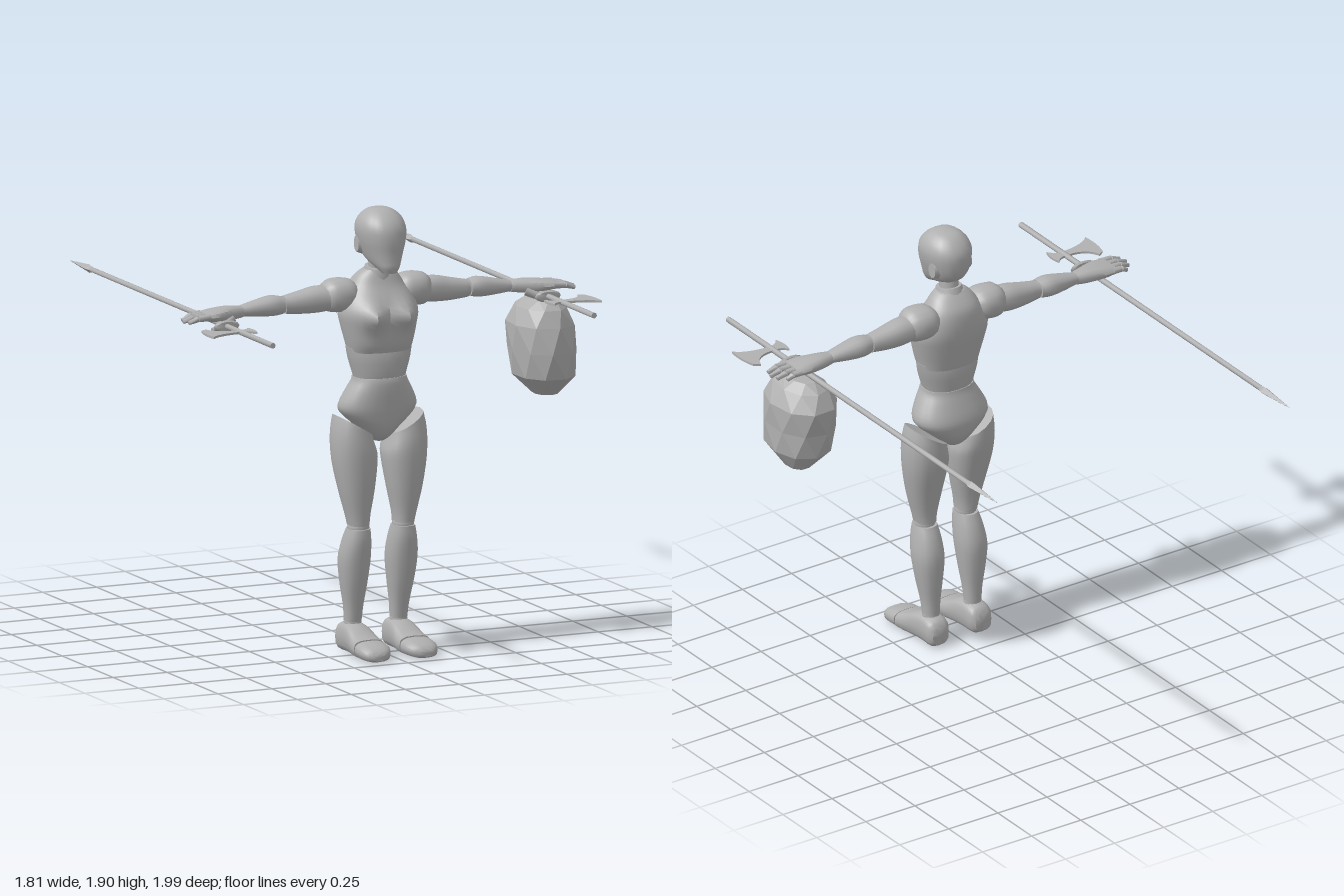
import * as THREE from 'three';
import { toCreasedNormals } from 'three/addons/utils/BufferGeometryUtils.js';

const grey = new THREE.MeshStandardMaterial({ color: 0xb0b0b0 });
grey.name = 'plain grey';

// Axis order for a loft: maps (along, u, v) to x, y, z
const AXES = {
  x: (t, u, v) => [t, u, v],
  y: (t, u, v) => [v, t, u],
  z: (t, u, v) => [u, v, t],
};

// Smooth in-between rows through the given ones
function refine(rows, steps) {
  const out = [];
  for (let i = 0; i < rows.length - 1; i++) {
    const p = [rows[Math.max(i - 1, 0)], rows[i], rows[i + 1], rows[Math.min(i + 2, rows.length - 1)]];
    for (let s = 0; s < steps; s++) {
      const f = s / steps;
      out.push(p[1].map((b, k) => {
        const a = p[0][k], c = p[2][k], d = p[3][k];
        return b + 0.5 * f * (c - a + f * (2 * a - 5 * b + 4 * c - d + f * (3 * (b - c) + d - a)));
      }));
    }
  }
  return [...out, rows[rows.length - 1]];
}

// Closed skin over cross-sections; each row is [along, uMin, uMax, vMin, vMax]
function loft(axis, rows, { n = 16, steps = 3, square = 2, twist = 0, warp = null } = {}) {
  const rings = steps > 1 ? refine(rows, steps) : rows;
  const pos = [], index = [], m = rings.length;
  const put = (t, u, v) => {
    const p = AXES[axis](t, u, v);
    pos.push(...(warp ? warp(...p) : p));
  };
  const round = (c) => Math.sign(c) * Math.pow(Math.abs(c), 2 / square);
  rings.forEach(([t, u0, u1, v0, v1], i) => {
    for (let j = 0; j < n; j++) {
      const a = ((j + twist * i) / n) * Math.PI * 2;
      put(t, (u0 + u1) / 2 + (u1 - u0) / 2 * round(Math.cos(a)), (v0 + v1) / 2 + (v1 - v0) / 2 * round(Math.sin(a)));
    }
  });
  for (const [t, u0, u1, v0, v1] of [rings[0], rings[m - 1]]) put(t, (u0 + u1) / 2, (v0 + v1) / 2);
  for (let j = 0; j < n; j++) {
    const k = (j + 1) % n, e = (m - 1) * n;
    for (let i = 0; i < m - 1; i++) {
      const a = i * n + j, b = i * n + k;
      index.push(a, b, a + n, b, b + n, a + n);
    }
    index.push(m * n, k, j, m * n + 1, e + j, e + k);
  }
  const g = new THREE.BufferGeometry();
  g.setAttribute('position', new THREE.Float32BufferAttribute(pos, 3));
  g.setIndex(index);
  return g;
}

// Tapered rod between two points
function rod(a, b, ra, rb, sides = 8) {
  const A = new THREE.Vector3(...a), d = new THREE.Vector3(...b).sub(A);
  const g = new THREE.CylinderGeometry(rb, ra, d.length(), sides);
  g.applyQuaternion(new THREE.Quaternion().setFromUnitVectors(new THREE.Vector3(0, 1, 0), d.clone().normalize()));
  const mid = A.addScaledVector(d, 0.5);
  return g.translate(mid.x, mid.y, mid.z);
}

const ball = (x, y, z, r) => new THREE.SphereGeometry(r, 14, 10).translate(x, y, z);

export function createModel() {
  const model = new THREE.Group();
  model.name = 'jointedFigure';

  function add(name, geo, mirror = false, crease = 0.8) {
    let g = geo.index ? geo.toNonIndexed() : geo.clone();
    g.deleteAttribute('uv');
    if (mirror) {
      g.scale(-1, 1, 1);
      const a = g.attributes.position.array;
      for (let i = 0; i < a.length; i += 9)
        for (let k = 3; k < 6; k++) [a[i + k], a[i + k + 3]] = [a[i + k + 3], a[i + k]];
    }
    g.computeVertexNormals();
    if (crease > 0) g = toCreasedNormals(g, crease);
    const mesh = new THREE.Mesh(g, grey);
    mesh.name = name;
    model.add(mesh);
  }
  function pair(name, geo, crease) {
    add('left' + name, geo, false, crease);
    add('right' + name, geo, true, crease);
  }

  // Head and neck
  add('head', loft('y', [
    [1.635, 0.54, 0.595, -0.03, 0.03], [1.66, 0.47, 0.605, -0.05, 0.05], [1.685, 0.4, 0.605, -0.066, 0.066],
    [1.72, 0.367, 0.605, -0.08, 0.08], [1.77, 0.354, 0.607, -0.095, 0.095], [1.82, 0.354, 0.6, -0.1, 0.1],
    [1.86, 0.375, 0.575, -0.086, 0.086], [1.89, 0.41, 0.535, -0.054, 0.054], [1.9, 0.45, 0.5, -0.02, 0.02],
  ], { n: 20, square: 2.3 }));
  pair('Ear', loft('x', [[0.07, 1.70, 1.785, 0.41, 0.475], [0.094, 1.71, 1.78, 0.415, 0.465]], { n: 10, steps: 1 }));
  add('neck', rod([0, 1.58, 0.44], [0, 1.72, 0.46], 0.043, 0.04, 14));
  add('neckCollar', rod([0, 1.6, 0.445], [0, 1.645, 0.452], 0.068, 0.055, 16));

  // Chest, with the bust pushed forward
  add('chest', loft('y', [
    [1.29, 0.365, 0.555, -0.138, 0.138], [1.33, 0.355, 0.57, -0.148, 0.148], [1.4, 0.34, 0.572, -0.165, 0.165],
    [1.46, 0.33, 0.57, -0.174, 0.174], [1.52, 0.33, 0.55, -0.153, 0.153], [1.57, 0.34, 0.522, -0.12, 0.12],
    [1.61, 0.37, 0.505, -0.092, 0.092], [1.635, 0.395, 0.495, -0.062, 0.062],
  ], {
    n: 32, square: 2.3,
    warp: (x, y, z) => {
      const bump = Math.exp(-(((Math.abs(x) - 0.075) / 0.05) ** 2) - ((y - 1.45) / 0.055) ** 2);
      return [x, y, z > 0.46 ? z + 0.055 * bump : z];
    },
  }));
  add('waist', loft('y', [
    [1.165, 0.38, 0.55, -0.108, 0.108], [1.2, 0.375, 0.555, -0.118, 0.118],
    [1.26, 0.37, 0.555, -0.136, 0.136], [1.31, 0.375, 0.545, -0.146, 0.146],
  ], { n: 20, square: 2.3 }));
  add('pelvis', loft('y', [
    [0.9, 0.43, 0.48, -0.02, 0.02], [0.92, 0.38, 0.515, -0.045, 0.045], [0.965, 0.345, 0.54, -0.095, 0.095],
    [1.02, 0.332, 0.55, -0.158, 0.158], [1.06, 0.335, 0.555, -0.172, 0.172], [1.12, 0.355, 0.56, -0.145, 0.145],
    [1.16, 0.37, 0.56, -0.122, 0.122], [1.18, 0.375, 0.555, -0.117, 0.117],
  ], { n: 24, square: 2.3 }));

  // Legs: the thigh tops slope inwards to clear the pelvis
  pair('Thigh', loft('y', [
    [0.55, 0.425, 0.535, 0.06, 0.148], [0.6, 0.42, 0.54, 0.055, 0.16], [0.7, 0.4, 0.552, 0.036, 0.186],
    [0.82, 0.37, 0.56, 0.02, 0.208], [0.9, 0.355, 0.56, 0.022, 0.211], [0.975, 0.35, 0.55, 0.04, 0.195],
  ], {
    n: 16, square: 2.3,
    warp: (x, y, z) => [x, y + (x - 0.118) * 0.6 * THREE.MathUtils.smoothstep(y, 0.8, 0.975), z],
  }));
  pair('Knee', ball(0.104, 0.54, 0.48, 0.047));
  pair('Shin', loft('y', [
    [0.13, 0.392, 0.467, 0.07, 0.142], [0.2, 0.39, 0.48, 0.065, 0.148], [0.3, 0.38, 0.505, 0.052, 0.165],
    [0.4, 0.375, 0.525, 0.043, 0.175], [0.48, 0.395, 0.537, 0.047, 0.165], [0.535, 0.422, 0.535, 0.055, 0.152],
  ], { n: 16, square: 2.3 }));
  pair('Ankle', ball(0.106, 0.125, 0.43, 0.038));
  pair('Foot', loft('z', [
    [0.352, 0.07, 0.148, 0.015, 0.09], [0.375, 0.055, 0.16, 0, 0.12], [0.43, 0.052, 0.16, 0, 0.13],
    [0.49, 0.046, 0.165, 0, 0.118], [0.55, 0.036, 0.174, 0, 0.09], [0.593, 0.034, 0.178, 0, 0.078],
  ], { n: 16, square: 3 }));
  pair('Toes', loft('z', [
    [0.6, 0.034, 0.178, 0, 0.075], [0.65, 0.036, 0.178, 0, 0.068],
    [0.69, 0.055, 0.165, 0, 0.054], [0.71, 0.085, 0.14, 0.008, 0.036],
  ], { n: 16, square: 2.8 }));

  // Arms, held straight out
  pair('Shoulder', loft('x', [
    [0.1, 1.48, 1.58, 0.365, 0.485], [0.13, 1.465, 1.598, 0.347, 0.505], [0.18, 1.458, 1.602, 0.343, 0.508],
    [0.22, 1.463, 1.595, 0.355, 0.498], [0.243, 1.485, 1.575, 0.375, 0.475],
  ], { square: 2.3 }));
  pair('UpperArm', loft('x', [
    [0.225, 1.468, 1.575, 0.362, 0.488], [0.28, 1.462, 1.575, 0.362, 0.48],
    [0.35, 1.463, 1.56, 0.37, 0.472], [0.425, 1.47, 1.545, 0.383, 0.463],
  ], { n: 14, square: 2.3 }));
  pair('Elbow', ball(0.43, 1.508, 0.423, 0.035));
  pair('Forearm', loft('x', [
    [0.432, 1.472, 1.545, 0.38, 0.468], [0.48, 1.466, 1.553, 0.37, 0.475],
    [0.55, 1.47, 1.54, 0.38, 0.468], [0.628, 1.478, 1.522, 0.397, 0.457],
  ], { n: 14, square: 2.3 }));

  // Hands
  pair('Palm', loft('x', [
    [0.62, 1.474, 1.522, 0.398, 0.458], [0.68, 1.468, 1.527, 0.385, 0.475],
    [0.75, 1.47, 1.522, 0.376, 0.5], [0.81, 1.478, 1.512, 0.378, 0.504],
  ], { n: 12, square: 2.6 }));
  [[0.39, 0.865], [0.422, 0.895], [0.456, 0.905], [0.49, 0.895]].forEach(([z, tip], i) => {
    const mid = (0.805 + tip) / 2;
    pair('FingerBase' + i, rod([0.795, 1.497, z], [mid, 1.496, z], 0.015, 0.0135));
    pair('FingerTip' + i, rod([mid + 0.003, 1.495, z], [tip, 1.482, z], 0.013, 0.009));
  });
  pair('ThumbBase', rod([0.68, 1.478, 0.465], [0.74, 1.453, 0.49], 0.019, 0.016));
  pair('ThumbTip', rod([0.743, 1.452, 0.491], [0.79, 1.445, 0.5], 0.015, 0.01));

  // Long weapons running front to back under each palm
  const X = 0.745, Y = 1.466;
  pair('Shaft', rod([X, Y, 1], [X, Y, -0.8], 0.0125, 0.0115));
  pair('SpearTip', loft('z', [
    [-0.99, X - 0.001, X + 0.001, Y - 0.001, Y + 0.001], [-0.8, X - 0.02, X + 0.02, Y - 0.018, Y + 0.018],
    [-0.77, X - 0.011, X + 0.011, Y - 0.011, Y + 0.011],
  ], { n: 4, steps: 1 }), 0);
  pair('Guard', loft('z', [
    [0.537, X - 0.05, X + 0.05, Y - 0.02, Y + 0.02], [0.545, X - 0.06, X + 0.06, Y - 0.026, Y + 0.026],
    [0.553, X - 0.05, X + 0.05, Y - 0.02, Y + 0.02],
  ], { n: 12, steps: 1 }));

  // Double axe head lying flat across the shaft
  const axe = new THREE.Shape();
  axe.moveTo(X, 0.658);
  axe.quadraticCurveTo(0.84, 0.665, 0.863, 0.588);
  axe.lineTo(0.89, 0.605);
  axe.quadraticCurveTo(0.91, 0.67, 0.9, 0.748);
  axe.quadraticCurveTo(0.86, 0.7, X, 0.695);
  axe.quadraticCurveTo(0.71, 0.695, 0.69, 0.73);
  axe.quadraticCurveTo(0.67, 0.68, 0.688, 0.63);
  axe.quadraticCurveTo(0.705, 0.662, X, 0.658);
  const plate = new THREE.ExtrudeGeometry(axe, { depth: 0.009, bevelEnabled: false, curveSegments: 6 });
  pair('AxeHead', plate.rotateX(Math.PI / 2).translate(0, Y + 0.0045, 0), 0.4);

  // Faceted sack hanging from the left hand
  add('sack', loft('y', [
    [1.035, 0.38, 0.52, 0.725, 0.825], [1.12, 0.3, 0.63, 0.635, 0.885], [1.23, 0.28, 0.645, 0.622, 0.89],
    [1.34, 0.267, 0.63, 0.62, 0.892], [1.41, 0.31, 0.6, 0.655, 0.85], [1.445, 0.36, 0.555, 0.7, 0.81],
  ], { n: 9, steps: 1, twist: 0.35, square: 2.2 }), false, 0);

  return model;
}
